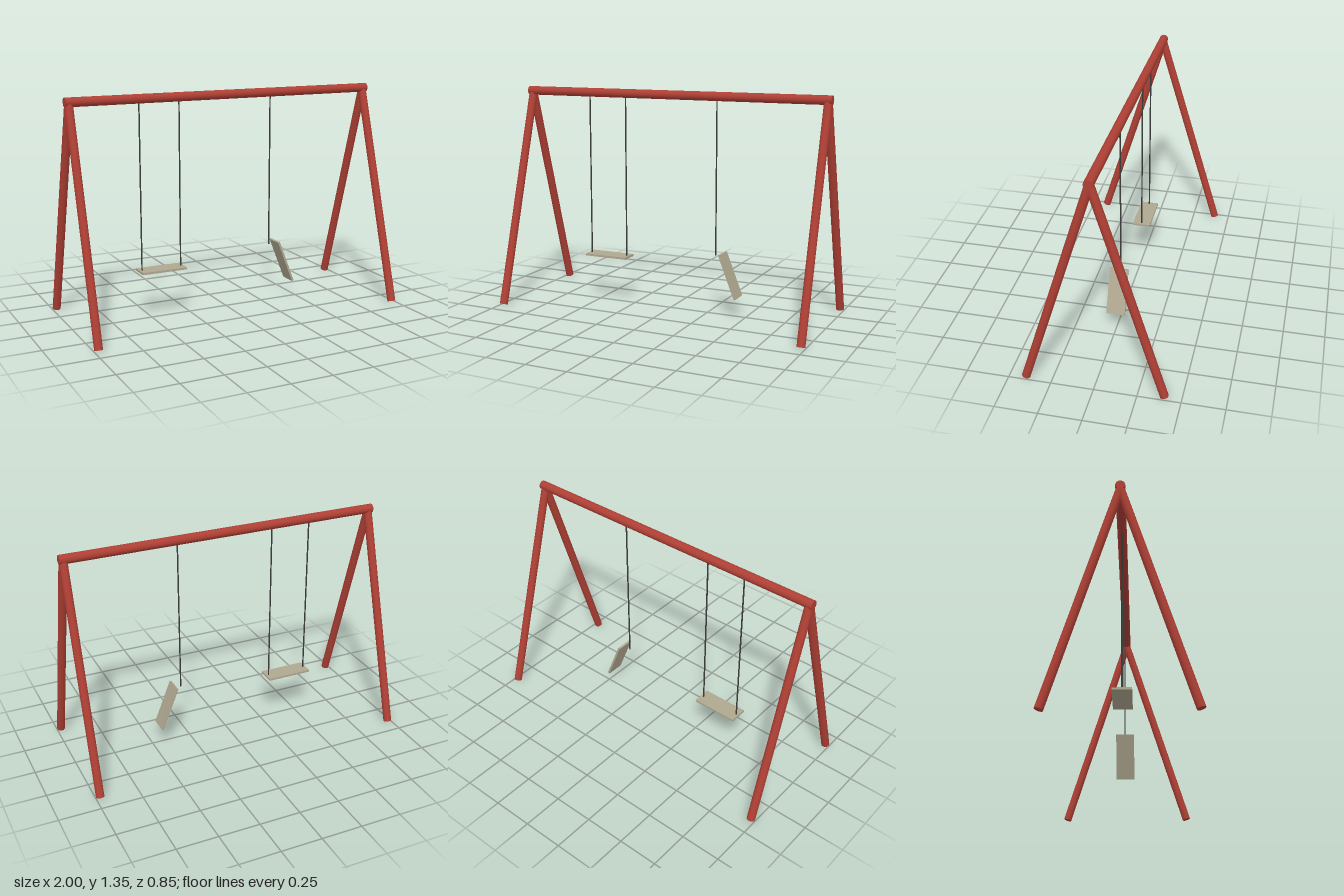
import * as THREE from 'three';

const red = new THREE.MeshStandardMaterial({ color: 0xb04035 });
const wood = new THREE.MeshStandardMaterial({ color: 0xb0a890 });
const steel = new THREE.MeshStandardMaterial({ color: 0x3c3c3c });

// Round bar between two points
function bar(name, a, b, radius, sides, material) {
  const from = new THREE.Vector3(...a);
  const to = new THREE.Vector3(...b);
  const dir = to.clone().sub(from);
  const mesh = new THREE.Mesh(new THREE.CylinderGeometry(radius, radius, dir.length(), sides), material);
  mesh.position.copy(from).add(to).multiplyScalar(0.5);
  mesh.quaternion.setFromUnitVectors(new THREE.Vector3(0, 1, 0), dir.normalize());
  mesh.name = name;
  return mesh;
}

// Seat plank, turned about the z axis
function seat(name, x, y, angle) {
  const mesh = new THREE.Mesh(new THREE.BoxGeometry(0.285, 0.013, 0.113), wood);
  mesh.position.set(x, y, 0);
  mesh.rotation.z = angle;
  mesh.name = name;
  return mesh;
}

export function createModel() {
  const group = new THREE.Group();
  group.name = 'swingSet';

  // Top beam
  group.add(bar('topBeam', [-1, 1.327, 0], [1, 1.327, 0], 0.028, 10, red));

  // A-frame legs at both ends
  for (const [side, x] of [['left', 0.975], ['right', -0.975]]) {
    for (const [end, z] of [['Front', 0.402], ['Back', -0.402]]) {
      group.add(bar(`${side}${end}Leg`, [x, 0.0075, z], [x, 1.318, 0], 0.025, 12, red));
    }
  }

  // Intact swing hanging on two chains
  const swing = new THREE.Group();
  swing.name = 'swing';
  for (const x of [-0.558, -0.307]) {
    swing.add(bar('chain', [x, 0.295, 0], [x, 1.31, 0], 0.0045, 8, steel));
  }
  swing.add(seat('seat', -0.432, 0.295, 0));

  // Broken swing: one chain left, seat hanging down
  const broken = new THREE.Group();
  broken.name = 'brokenSwing';
  broken.add(bar('chain', [0.302, 0.365, 0], [0.302, 1.31, 0], 0.0045, 8, steel));
  broken.add(seat('hangingSeat', 0.398, 0.25, THREE.MathUtils.degToRad(-68.5)));

  group.add(swing, broken);
  return group;
}
